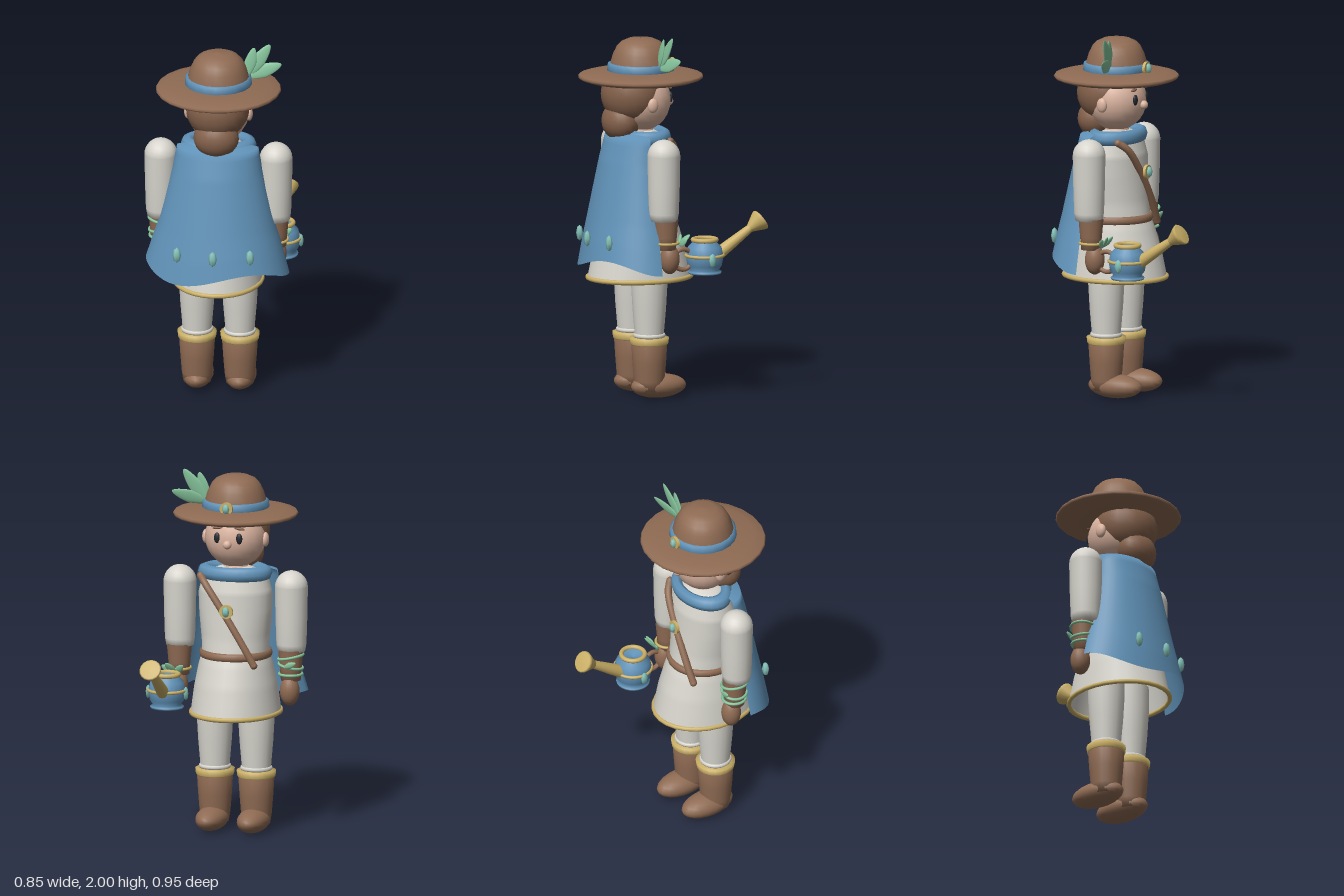
import * as THREE from 'three';
import { ParametricGeometry } from 'three/addons/geometries/ParametricGeometry.js';

const CX = -0.02, CZ = 0.13; // body axis
const V = (x, y, z) => new THREE.Vector3(x, y, z);

export function createModel() {
  const root = new THREE.Group();
  root.name = 'gardener';
  const mat = (name, color, side = THREE.FrontSide) => {
    const m = new THREE.MeshStandardMaterial({ color, side });
    m.name = name;
    return m;
  };
  const brown = mat('leather brown', 0x8f6b53);
  const hairBrown = mat('hair brown', 0x84614b);
  const blue = mat('cloth blue', 0x6193b9, THREE.DoubleSide);
  const white = mat('linen white', 0xd6d4cc, THREE.DoubleSide);
  const gold = mat('gold', 0xcbb067);
  const green = mat('leaf green', 0x86c49c, THREE.DoubleSide);
  const teal = mat('gem teal', 0x86c4bb);
  const skin = mat('skin', 0xdab39f);
  const dark = mat('eye dark', 0x23272d);

  const add = (name, geo, m, p = [0, 0, 0], parent = root) => {
    const mesh = new THREE.Mesh(geo, m);
    mesh.name = name;
    mesh.position.set(...p);
    parent.add(mesh);
    return mesh;
  };
  const ball = (name, m, p, r, parent) => {
    const mesh = add(name, new THREE.SphereGeometry(1, 20, 14), m, p, parent);
    mesh.scale.set(...r);
    return mesh;
  };
  // Surface of revolution from [radius, height] pairs
  const lathe = (name, m, pts, p, parent, seg = 24) =>
    add(name, new THREE.LatheGeometry(pts.map(a => new THREE.Vector2(...a)), seg), m, p, parent);
  // Horizontal ring, optionally oval
  const ring = (name, m, p, rx, rz, tube, parent, tall = 1) => {
    const geo = new THREE.TorusGeometry(1, tube / rx, 8, 28).rotateX(Math.PI / 2);
    const mesh = add(name, geo, m, p, parent);
    mesh.scale.set(rx, rx * tall, rz);
    return mesh;
  };
  // Oval sections [y, rx, rz] joined over an arc; wave shifts the hem
  const loft = (name, m, rows, a0, a1, cz, wave = () => 0) => {
    const n = rows.length - 1;
    const geo = new ParametricGeometry((u, v, t) => {
      const i = Math.min(n - 1, Math.floor(v * n)), f = v * n - i;
      const [y, rx, rz] = rows[i].map((q, k) => q + (rows[i + 1][k] - q) * f);
      const a = a0 + (a1 - a0) * u;
      t.set(CX + rx * Math.cos(a), y + wave(u, v), cz + rz * Math.sin(a));
    }, 28, n * 3);
    return add(name, geo, m);
  };
  // Flat pointed leaf running from a to b
  const leaf = (name, a, b, width, parent) => {
    const d = b.clone().sub(a), L = d.length();
    const geo = new THREE.SphereGeometry(1, 12, 12);
    const pos = geo.attributes.position;
    for (let i = 0; i < pos.count; i++) {
      const k = 1 - 0.25 * Math.abs(pos.getY(i));
      pos.setX(i, pos.getX(i) * k);
    }
    geo.scale(width, L / 2, 0.008);
    geo.computeVertexNormals();
    const mesh = add(name, geo, green, a.clone().add(b).multiplyScalar(0.5).toArray(), parent);
    mesh.quaternion.setFromUnitVectors(V(0, 1, 0), d.normalize());
  };
  const gem = (name, p, r, parent) => {
    const geo = new THREE.SphereGeometry(1, 6, 4);
    const mesh = add(name, geo, teal, p, parent);
    mesh.scale.set(...r);
  };
  const brooch = (name, p, r) => {
    const disc = add(name, new THREE.CylinderGeometry(r, r, 0.016, 18), gold, p);
    disc.rotation.x = Math.PI / 2;
    gem(name + 'Gem', [p[0], p[1], p[2] - 0.012], [r * 0.55, r * 0.8, 0.018]);
  };

  // Legs and boots
  for (const s of [-1, 1]) {
    const leg = new THREE.Group();
    leg.name = s > 0 ? 'leftLeg' : 'rightLeg';
    leg.position.set(CX + s * 0.117, 0, CZ);
    root.add(leg);
    lathe('trouser', white, [[0.078, 0.3], [0.08, 0.36], [0.092, 0.5], [0.1, 0.64], [0.1, 0.78]], [0, 0, 0], leg, 20);
    ring('trouserCuff', white, [0, 0.35, 0], 0.076, 0.076, 0.013, leg);
    lathe('bootShaft', brown, [[0.001, 0.04], [0.076, 0.045], [0.084, 0.1], [0.092, 0.2], [0.099, 0.31], [0.075, 0.315]], [0, 0, 0], leg, 20);
    lathe('bootCuff', gold, [[0.098, 0.3], [0.104, 0.305], [0.108, 0.338], [0.078, 0.34]], [0, 0, 0], leg, 20);
    ball('foot', brown, [0, 0.069, -0.055], [0.085, 0.066, 0.16], leg);
  }

  // Tunic, belt and hem
  loft('tunicBody', white, [[0.95, 0.185, 0.19], [1.05, 0.185, 0.175], [1.2, 0.2, 0.165], [1.32, 0.205, 0.16],
    [1.4, 0.185, 0.14], [1.45, 0.12, 0.1], [1.47, 0.06, 0.06]], 0, Math.PI * 2, CZ);
  loft('skirt', white, [[0.65, 0.245, 0.293], [0.8, 0.226, 0.26], [0.92, 0.203, 0.222], [1.0, 0.182, 0.19]], 0, Math.PI * 2, 0.137);
  ring('skirtHem', gold, [CX, 0.66, 0.137], 0.242, 0.29, 0.011, root, 1.2);
  ring('belt', brown, [CX, 0.985, 0.135], 0.183, 0.19, 0.016, root, 1.5);

  // Chest strap with brooch
  const strap = new THREE.CatmullRomCurve3([V(0.15, 1.42, 0.03), V(0.11, 1.38, -0.01), V(-0.02, 1.2, -0.04),
    V(-0.12, 1.04, -0.045), V(-0.17, 0.95, -0.04)]);
  add('strap', new THREE.TubeGeometry(strap, 24, 0.02, 10), brown);
  for (const t of [0, 1]) ball('strapEnd', brown, strap.getPoint(t).toArray(), [0.02, 0.02, 0.02]);
  brooch('strapBrooch', [-0.02, 1.245, -0.06], 0.038);

  // Cape with a waving hem and scarf
  loft('cape', blue, [[1.46, 0.16, 0.1], [1.445, 0.222, 0.14], [1.32, 0.245, 0.175], [1.2, 0.273, 0.2], [1.0, 0.322, 0.24],
    [0.88, 0.356, 0.265], [0.75, 0.392, 0.288]], Math.PI, 0, 0.17,
    (u, v) => 0.035 * v * v * v * Math.cos(3 * Math.PI * u));
  ring('scarf', blue, [CX, 1.435, 0.12], 0.165, 0.115, 0.042);
  gem('capeGem', [-0.22, 0.885, 0.405], [0.023, 0.044, 0.018]);
  gem('capeGem', [-0.02, 0.885, 0.447], [0.023, 0.044, 0.018]);
  gem('capeGem', [0.18, 0.885, 0.405], [0.023, 0.044, 0.018]);

  // Arms with bracers and gloves
  for (const s of [-1, 1]) {
    const arm = new THREE.Group();
    arm.name = s > 0 ? 'leftArm' : 'rightArm';
    arm.position.set(CX + s * 0.315, 0, CZ);
    root.add(arm);
    ball('shoulder', white, [0, 1.365, 0], [0.09, 0.09, 0.09], arm);
    lathe('sleeve', white, [[0.05, 1.005], [0.075, 1.01], [0.082, 1.05], [0.087, 1.2], [0.09, 1.37]], [0, 0, 0], arm, 20);
    lathe('bracer', brown, [[0.02, 0.845], [0.054, 0.85], [0.06, 0.92], [0.069, 1.02]], [0, 0, -0.012], arm, 20);
    ball('glove', brown, [0, 0.795, -0.035], [0.054, 0.082, 0.054], arm);
    ring('bracerBand', s > 0 ? gold : green, [0, 0.885, -0.015], 0.062, 0.064, 0.008, arm);
    if (s < 0) {
      ring('vine', green, [0, 0.93, -0.014], 0.066, 0.068, 0.008, arm).rotation.z = 0.2;
      ring('vine', green, [0, 0.98, -0.014], 0.069, 0.071, 0.008, arm).rotation.z = -0.2;
      leaf('vineLeaf', V(0.02, 0.93, -0.085), V(-0.05, 0.96, -0.09), 0.018, arm);
    } else {
      leaf('wristLeaf', V(0, 0.87, -0.09), V(0.075, 0.91, -0.105), 0.024, arm);
      leaf('wristLeaf', V(0, 0.87, -0.09), V(0.045, 0.93, -0.135), 0.022, arm);
      leaf('wristLeaf', V(0, 0.87, -0.09), V(-0.05, 0.92, -0.12), 0.02, arm);
    }
  }

  // Watering can
  const can = new THREE.Group();
  can.name = 'wateringCan';
  can.position.set(0.3, 0, -0.11);
  root.add(can);
  lathe('canBody', blue, [[0.001, 0.706], [0.09, 0.706], [0.092, 0.716], [0.076, 0.725], [0.094, 0.75], [0.103, 0.8],
    [0.092, 0.85], [0.068, 0.875], [0.066, 0.89], [0.05, 0.885], [0.001, 0.87]], [0, 0, 0], can);
  ring('canRim', gold, [0, 0.89, 0], 0.064, 0.064, 0.013, can);
  ring('canBand', gold, [0, 0.805, 0], 0.102, 0.102, 0.009, can);
  gem('canGem', [0.107, 0.79, 0], [0.014, 0.038, 0.022], can);
  gem('canGem', [-0.107, 0.79, 0], [0.014, 0.038, 0.022], can);
  const handle = add('canHandle', new THREE.TorusGeometry(0.056, 0.013, 8, 24), brown, [0, 0.79, 0.128], can);
  handle.rotation.y = Math.PI / 2;
  // Spout and rose share one tilted axis
  const spout = new THREE.Group();
  spout.name = 'spout';
  spout.position.set(0, 0.979, -0.332);
  spout.quaternion.setFromUnitVectors(V(0, 1, 0), V(0, 0.565, -0.825).normalize());
  can.add(spout);
  lathe('spoutPipe', gold, [[0.036, -0.32], [0.03, -0.2], [0.022, -0.07]], [0, 0, 0], spout, 16);
  lathe('spoutRose', gold, [[0.021, -0.085], [0.03, -0.065], [0.056, -0.015], [0.061, 0], [0.054, 0.006], [0.001, 0.008]], [0, 0, 0], spout, 16);

  // Head and face
  ball('head', skin, [CX, 1.63, CZ], [0.168, 0.17, 0.165]);
  ball('neck', skin, [CX, 1.45, CZ], [0.07, 0.07, 0.07]);
  ball('nose', skin, [CX, 1.612, -0.038], [0.024, 0.024, 0.024]);
  for (const s of [-1, 1]) {
    ball('ear', skin, [CX + s * 0.168, 1.62, 0.13], [0.02, 0.04, 0.03]);
    ball('eye', dark, [CX + s * 0.062, 1.645, -0.02], [0.018, 0.03, 0.012]);
    const brow = ball('eyebrow', hairBrown, [CX + s * 0.062, 1.7, -0.012], [0.03, 0.008, 0.01]);
    brow.rotation.z = -s * 0.12;
  }
  ball('hair', hairBrown, [CX, 1.67, 0.182], [0.174, 0.172, 0.17]);
  ball('hairBun', hairBrown, [CX, 1.52, 0.25], [0.124, 0.108, 0.1]);

  // Hat
  lathe('hatBrim', brown, [[0.001, 1.735], [0.2, 1.728], [0.3, 1.738], [0.335, 1.75], [0.342, 1.76], [0.335, 1.77],
    [0.28, 1.784], [0.17, 1.795], [0.001, 1.795]], [CX, 0, CZ]);
  lathe('hatCrown', brown, [[0.172, 1.78], [0.168, 1.83], [0.152, 1.885], [0.142, 1.903], [0.132, 1.925], [0.108, 1.95],
    [0.07, 1.967], [0.001, 1.973]], [CX, 0, CZ], root, 20);
  lathe('hatBand', blue, [[0.17, 1.79], [0.184, 1.795], [0.18, 1.832], [0.165, 1.836]], [CX, 0, CZ], root, 20);
  brooch('hatBrooch', [CX, 1.815, -0.055], 0.036);
  leaf('hatLeaf', V(0.13, 1.82, 0.09), V(0.17, 1.985, 0.075), 0.032);
  leaf('hatLeaf', V(0.13, 1.82, 0.085), V(0.255, 2.0, 0.06), 0.038);
  leaf('hatLeaf', V(0.13, 1.82, 0.09), V(0.315, 1.88, 0.04), 0.038);

  return root;
}
